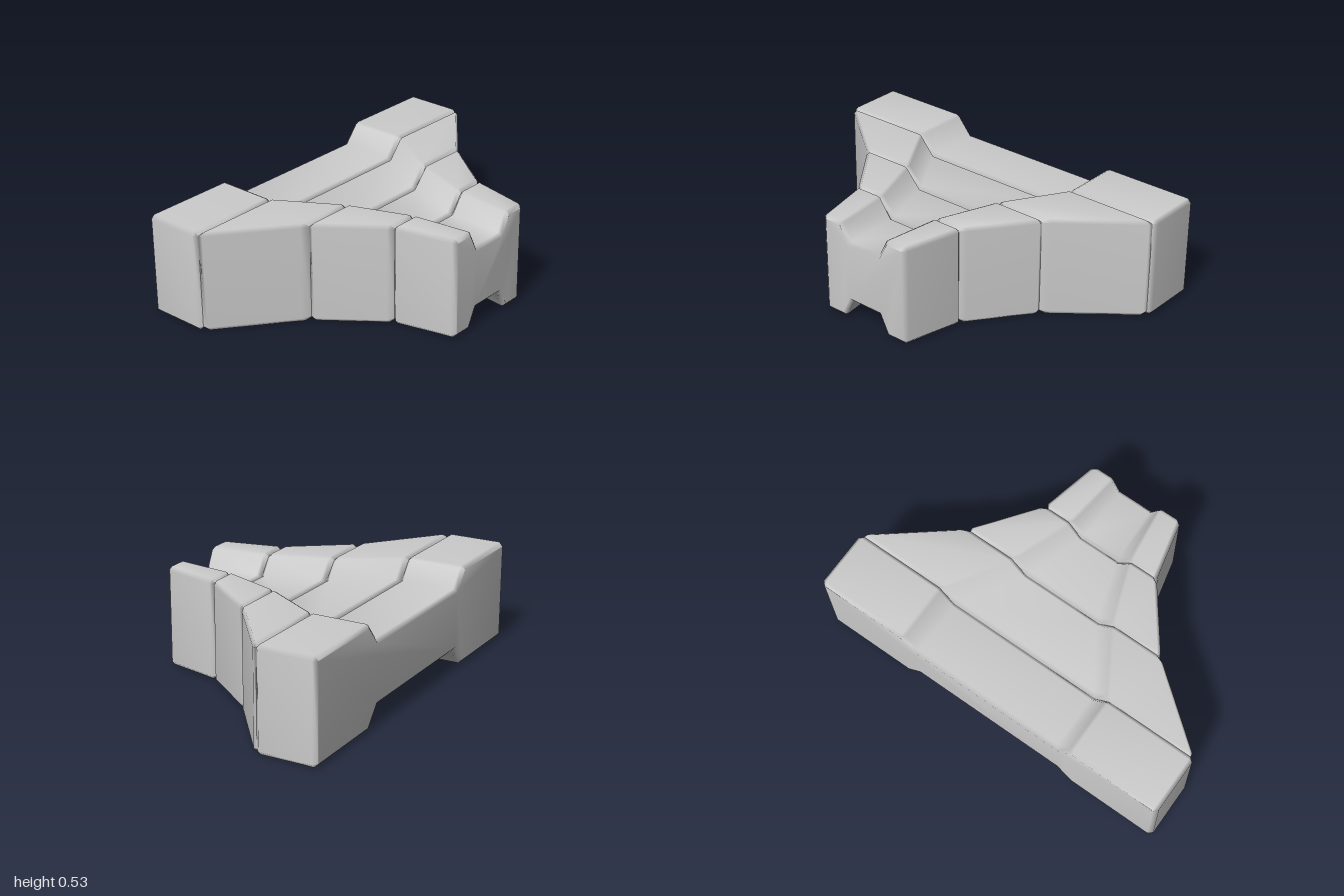
import * as THREE from 'three';

const HALF_H = 0.267; // half of the overall height
const GROOVE = 0.1;   // groove depth, top and bottom
const BEVEL = 0.02;

// Stations from back to front: z, half width, groove half width at rim and at floor
const stations = [
  { z: -0.65, w: 1.0, rim: 0.5, floor: 0.415 },
  { z: -0.33, w: 1.0, rim: 0.5, floor: 0.415 },
  { z: 0.0, w: 0.585, rim: 0.3, floor: 0.21 },
  { z: 0.325, w: 0.34, rim: 0.18, floor: 0.105 },
  { z: 0.65, w: 0.265, rim: 0.14, floor: 0.09 },
];

// Closed H-shaped outline, counter-clockwise seen from +z
function section({ w, rim, floor }, inset, c) {
  const x = w - inset, y = HALF_H - inset, r = rim + inset * 0.6, f = floor + inset * 0.6;
  const k = c * 0.5, slope = (rim - floor) / GROOVE;
  const quarter = [
    [x, y - c], [x - c, y],
    [r + k, y], [r - k * slope, y - k],
    [f, y - GROOVE],
  ];
  const flip = (sx, sy) => quarter.map(([px, py]) => new THREE.Vector2(px * sx, py * sy));
  return [...flip(1, 1), ...flip(-1, 1).reverse(), ...flip(-1, -1), ...flip(1, -1).reverse()];
}

function mix(a, b, t) {
  const out = {};
  for (const key of Object.keys(a)) out[key] = a[key] + (b[key] - a[key]) * t;
  return out;
}

// One bevelled block between two stations
function blockGeometry(back, front) {
  const t = BEVEL / (front.z - back.z);
  const rings = [
    { s: back, inset: BEVEL, c: 0.004 },
    { s: mix(back, front, t), inset: 0, c: BEVEL },
    { s: mix(back, front, 1 - t), inset: 0, c: BEVEL },
    { s: front, inset: BEVEL, c: 0.004 },
  ].map(({ s, inset, c }) => ({ z: s.z, pts: section(s, inset, c) }));

  const n = rings[0].pts.length;
  const positions = [], index = [];
  for (const { z, pts } of rings) {
    for (const p of pts) positions.push(p.x, p.y + HALF_H, z);
  }
  // Walls
  for (let k = 0; k < rings.length - 1; k++) {
    for (let i = 0; i < n; i++) {
      const j = (i + 1) % n;
      const a = k * n + i, b = k * n + j;
      index.push(a, b, b + n, a, b + n, a + n);
    }
  }
  // End caps
  const last = (rings.length - 1) * n;
  for (const [a, b, c] of THREE.ShapeUtils.triangulateShape(rings[0].pts, [])) {
    index.push(c, b, a);
  }
  for (const [a, b, c] of THREE.ShapeUtils.triangulateShape(rings[rings.length - 1].pts, [])) {
    index.push(last + a, last + b, last + c);
  }

  const geometry = new THREE.BufferGeometry();
  geometry.setAttribute('position', new THREE.Float32BufferAttribute(positions, 3));
  geometry.setIndex(index);
  geometry.computeVertexNormals(); // area-weighted, so bevels blend softly
  return geometry;
}

export function createModel() {
  const group = new THREE.Group();
  group.name = 'taperedGroovedBlock';
  const material = new THREE.MeshStandardMaterial({ color: 0xcccccc });
  const names = ['backBar', 'wideTaper', 'narrowTaper', 'frontNose'];
  names.forEach((name, i) => {
    const mesh = new THREE.Mesh(blockGeometry(stations[i], stations[i + 1]), material);
    mesh.name = name;
    group.add(mesh);
  });
  return group;
}
